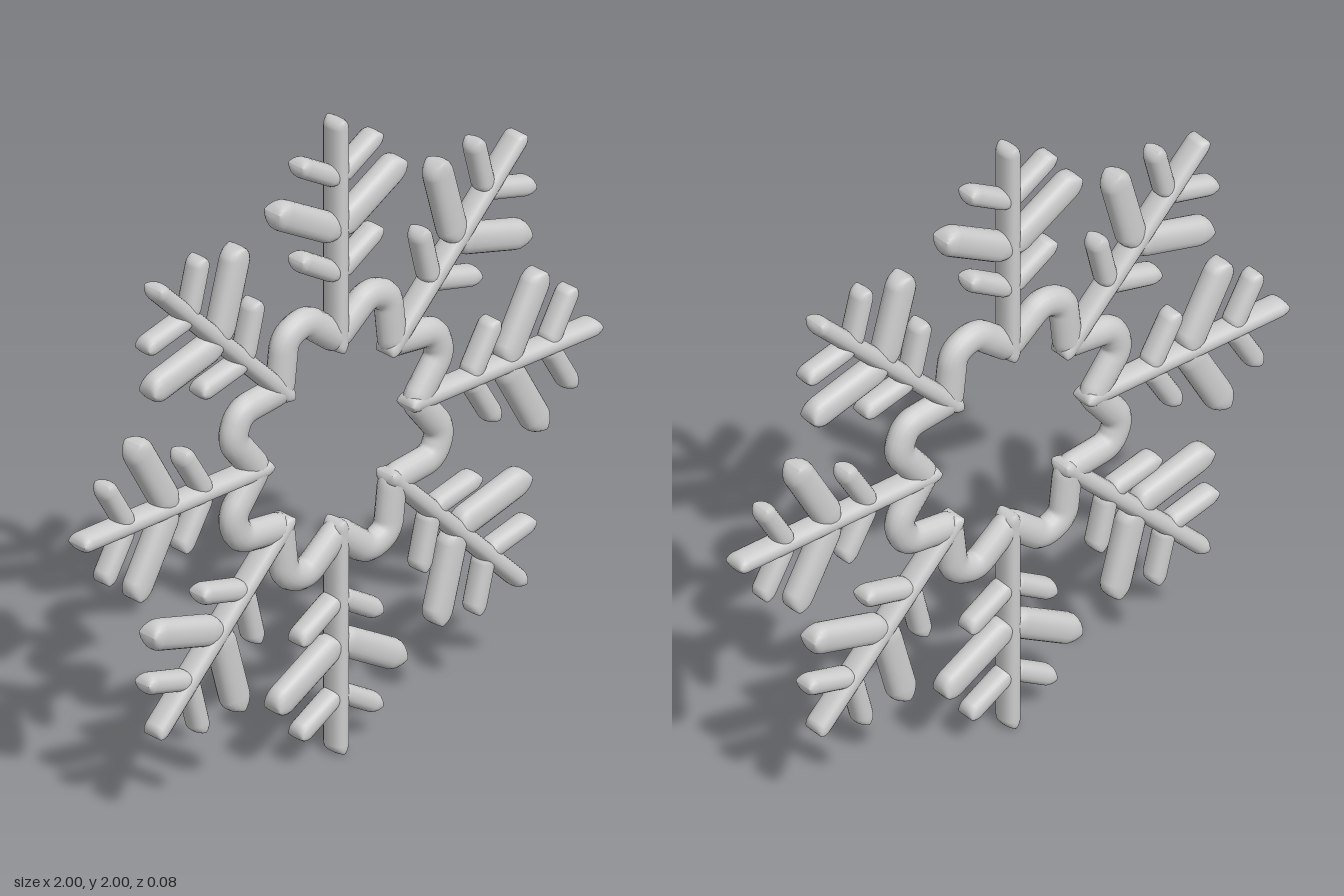
import * as THREE from 'three';

const ARMS = 8;

// Bar along +y with an oval section; the ends round off in width but stay blunt in depth
function barGeometry(length, halfWidth, halfDepth, sides = 20, capSteps = 6) {
  const loops = [];
  for (let i = 0; i <= capSteps; i++) {
    const a = (i / capSteps) * Math.PI / 2;
    loops.push([halfWidth * (1 - Math.cos(a)), Math.sin(a)]);
  }
  for (let i = capSteps; i >= 0; i--) loops.push([length - loops[i][0], loops[i][1]]);

  const positions = [], index = [];
  for (const [y, s] of loops) {
    const depth = halfDepth * (0.82 + 0.18 * s);
    for (let j = 0; j < sides; j++) {
      const t = (j / sides) * Math.PI * 2;
      const c = Math.cos(t), n = Math.sin(t);
      positions.push(
        halfWidth * s * Math.sign(c) * Math.abs(c) ** 0.85, y,
        depth * Math.sign(n) * Math.abs(n) ** 0.85);
    }
  }
  for (let i = 0; i < loops.length - 1; i++) {
    for (let j = 0; j < sides; j++) {
      const a = i * sides + j, b = i * sides + (j + 1) % sides;
      index.push(a, a + sides, b, b, a + sides, b + sides);
    }
  }
  const geometry = new THREE.BufferGeometry();
  geometry.setAttribute('position', new THREE.Float32BufferAttribute(positions, 3));
  geometry.setIndex(index);
  geometry.computeVertexNormals();
  return geometry;
}

// Closed star-like path with eight lobes and softened corners
function ringPath() {
  const corners = [];
  const polar = (r, deg, trim) => {
    const a = THREE.MathUtils.degToRad(deg);
    corners.push({ p: new THREE.Vector3(Math.sin(a) * r, Math.cos(a) * r, 0), trim });
  };
  for (let i = 0; i < ARMS; i++) {
    polar(0.307, i * 45, 0.02);
    polar(0.422, i * 45 + 16.8, 0.038);
    polar(0.422, i * 45 + 28.2, 0.038);
  }
  const toward = (from, to, d) => to.clone().sub(from).setLength(d).add(from);
  const path = new THREE.CurvePath();
  corners.forEach((c, i) => {
    const prev = corners[(i + corners.length - 1) % corners.length];
    const next = corners[(i + 1) % corners.length];
    const exit = toward(c.p, next.p, c.trim);
    path.add(new THREE.QuadraticBezierCurve3(toward(c.p, prev.p, c.trim), c.p, exit));
    path.add(new THREE.LineCurve3(exit, toward(next.p, c.p, next.trim)));
  });
  return path;
}

export function createModel() {
  const model = new THREE.Group();
  model.name = 'snowflake';
  const silver = new THREE.MeshStandardMaterial({ color: 0xcccccc });
  silver.name = 'silver grey';

  // Wavy central ring
  const ringGeometry = new THREE.TubeGeometry(ringPath(), 384, 0.046, 16, true);
  ringGeometry.scale(1, 1, 0.84);
  const ring = new THREE.Mesh(ringGeometry, silver);
  ring.name = 'wavyRing';
  ring.position.y = 1;
  model.add(ring);

  // Branch pairs: start on the stem, outer end (x, y), half width, half depth
  const branches = [
    { name: 'innerBranch', start: 0.51, x: 0.157, y: 0.605, w: 0.032, d: 0.036 },
    { name: 'middleBranch', start: 0.645, x: 0.247, y: 0.785, w: 0.046, d: 0.038 },
    { name: 'outerBranch', start: 0.81, x: 0.156, y: 0.902, w: 0.031, d: 0.035 },
  ].map((b) => ({
    ...b,
    angle: Math.atan2(b.x, b.y - b.start),
    geometry: barGeometry(Math.hypot(b.x, b.y - b.start), b.w, b.d),
  }));
  const stemGeometry = barGeometry(0.735, 0.028, 0.04);

  // Eight identical arms around the ring
  for (let i = 0; i < ARMS; i++) {
    const arm = new THREE.Group();
    arm.name = 'arm';
    arm.position.y = 1;
    arm.rotation.z = (i / ARMS) * Math.PI * 2;

    const stem = new THREE.Mesh(stemGeometry, silver);
    stem.name = 'stem';
    stem.position.y = 0.265;
    arm.add(stem);

    for (const b of branches) {
      for (const side of [-1, 1]) {
        const branch = new THREE.Mesh(b.geometry, silver);
        branch.name = b.name;
        branch.position.y = b.start;
        branch.rotation.z = -side * b.angle;
        arm.add(branch);
      }
    }
    model.add(arm);
  }
  return model;
}
